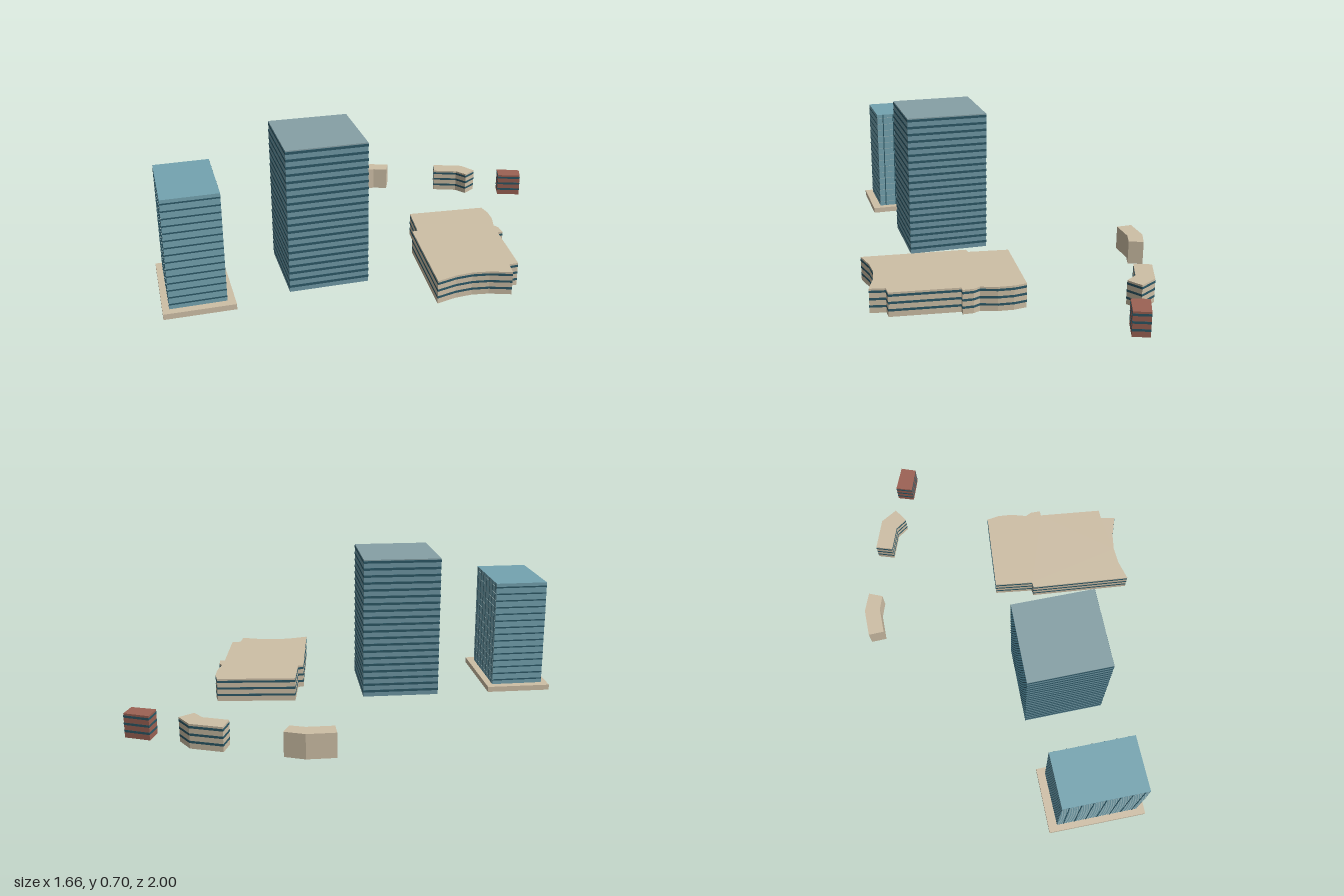
import * as THREE from 'three';
import { mergeGeometries } from 'three/addons/utils/BufferGeometryUtils.js';

const mat = (color) => new THREE.MeshStandardMaterial({ color, flatShading: true });
const STONE = mat(0xcebfa6), BRICK = mat(0x9c6254), TEAL = mat(0x74a3b0),
  SLATE = mat(0x86a0a6), GLASS = mat(0x2c5866), WALL = mat(0x6f97a4), LINE = mat(0x9db4b6);

// Footprints as [x, z] corners
const PLAZA = [[-0.83, 0.615], [-0.58, 0.415], [-0.275, 0.79], [-0.53, 0.995]];
const TOWER_A = [[-0.78, 0.63], [-0.58, 0.465], [-0.33, 0.78], [-0.53, 0.945]];
const TOWER_B = [[-0.375, 0.25], [-0.075, 0.015], [0.17, 0.325], [-0.125, 0.562]];
const HALL = [[0.185, -0.21], [0.505, -0.427], [0.55, -0.385], [0.59, -0.325], [0.62, -0.25],
  [0.65, -0.235], [0.68, -0.195], [0.66, -0.18], [0.83, 0.09], [0.795, 0.12], [0.83, 0.185],
  [0.73, 0.22], [0.66, 0.26], [0.6, 0.315], [0.54, 0.395], [0.265, -0.025], [0.285, -0.045]];
const BENT_A = [[-0.365, -0.67], [-0.26, -0.755], [-0.165, -0.785], [-0.145, -0.715],
  [-0.215, -0.69], [-0.315, -0.61]];
const BENT_B = [[0.085, -0.885], [0.235, -0.935], [0.325, -0.9], [0.3, -0.825],
  [0.235, -0.845], [0.115, -0.805]];
const BRICK_BLOCK = [[0.445, -0.965], [0.565, -1], [0.59, -0.925], [0.475, -0.885]];

// Upright prism over a footprint
function prism(points, y0, y1) {
  const shape = new THREE.Shape(points.map(([x, z]) => new THREE.Vector2(x, -z)));
  return new THREE.ExtrudeGeometry(shape, { depth: y1 - y0, bevelEnabled: false })
    .rotateX(-Math.PI / 2).translate(0, y0, 0);
}

// Thin horizontal strip along one footprint edge
function strip(points, edge, y, height, proud) {
  const [ax, az] = points[edge], [bx, bz] = points[(edge + 1) % points.length];
  return new THREE.BoxGeometry(Math.hypot(bx - ax, bz - az) + proud, height, proud * 2)
    .rotateY(-Math.atan2(bz - az, bx - ax))
    .translate((ax + bx) / 2, y, (az + bz) / 2);
}

// Strips repeated on every floor along the chosen edges
function bands(points, levels, height, proud, edges = points.map((_, i) => i)) {
  return mergeGeometries(levels.flatMap((y) => edges.map((e) => strip(points, e, y, height, proud))));
}

const floors = (count, pitch, first) => Array.from({ length: count }, (_, i) => first + i * pitch);

export function createModel() {
  const model = new THREE.Group();
  const add = (parent, name, geometry, material) => {
    const mesh = new THREE.Mesh(geometry, material);
    mesh.name = name;
    parent.add(mesh);
  };
  const building = (name) => {
    const group = new THREE.Group();
    group.name = name;
    model.add(group);
    return group;
  };

  // Glass tower on a stone base
  const glassTower = building('glassTower');
  add(glassTower, 'stoneBase', prism(PLAZA, 0, 0.027), STONE);
  add(glassTower, 'towerBody', prism(TOWER_A, 0.001, 0.56), TEAL);
  const levels = floors(15, 0.035, 0.05);
  add(glassTower, 'windowRows', bands(TOWER_A, levels, 0.007, 0.001, [0, 2]), GLASS);
  add(glassTower, 'floorLines', bands(TOWER_A, levels, 0.002, 0.001, [1, 3]), LINE);
  // Vertical mullions on the two long sides
  const mullions = [];
  for (const edge of [1, 3]) {
    const [ax, az] = TOWER_A[edge], [bx, bz] = TOWER_A[(edge + 1) % 4];
    for (const t of [0.06, 0.2, 0.34, 0.5, 0.64, 0.78, 0.92]) {
      mullions.push(new THREE.BoxGeometry(0.005, 0.53, 0.003)
        .rotateY(-Math.atan2(bz - az, bx - ax))
        .translate(ax + (bx - ax) * t, 0.293, az + (bz - az) * t));
    }
  }
  add(glassTower, 'mullions', mergeGeometries(mullions), GLASS);

  // Tall tower with a window band on each floor
  const tallTower = building('tallTower');
  add(tallTower, 'towerBody', prism(TOWER_B, 0, 0.7), WALL);
  add(tallTower, 'roof', prism(TOWER_B, 0.7, 0.705), SLATE);
  add(tallTower, 'windowBands', bands(TOWER_B, floors(20, 0.035, 0.028), 0.012, 0.0015), GLASS);

  // Low blocks, all of one height
  const low = [
    ['lowHall', HALL, STONE, true],
    ['plainBentBlock', BENT_A, STONE, false],
    ['bentBlock', BENT_B, STONE, true],
    ['brickBlock', BRICK_BLOCK, BRICK, true],
  ];
  for (const [name, points, material, windows] of low) {
    const group = building(name);
    add(group, 'walls', prism(points, 0, 0.117), material);
    if (windows) add(group, 'windowBands', bands(points, floors(3, 0.035, 0.032), 0.011, 0.001), GLASS);
  }
  return model;
}
